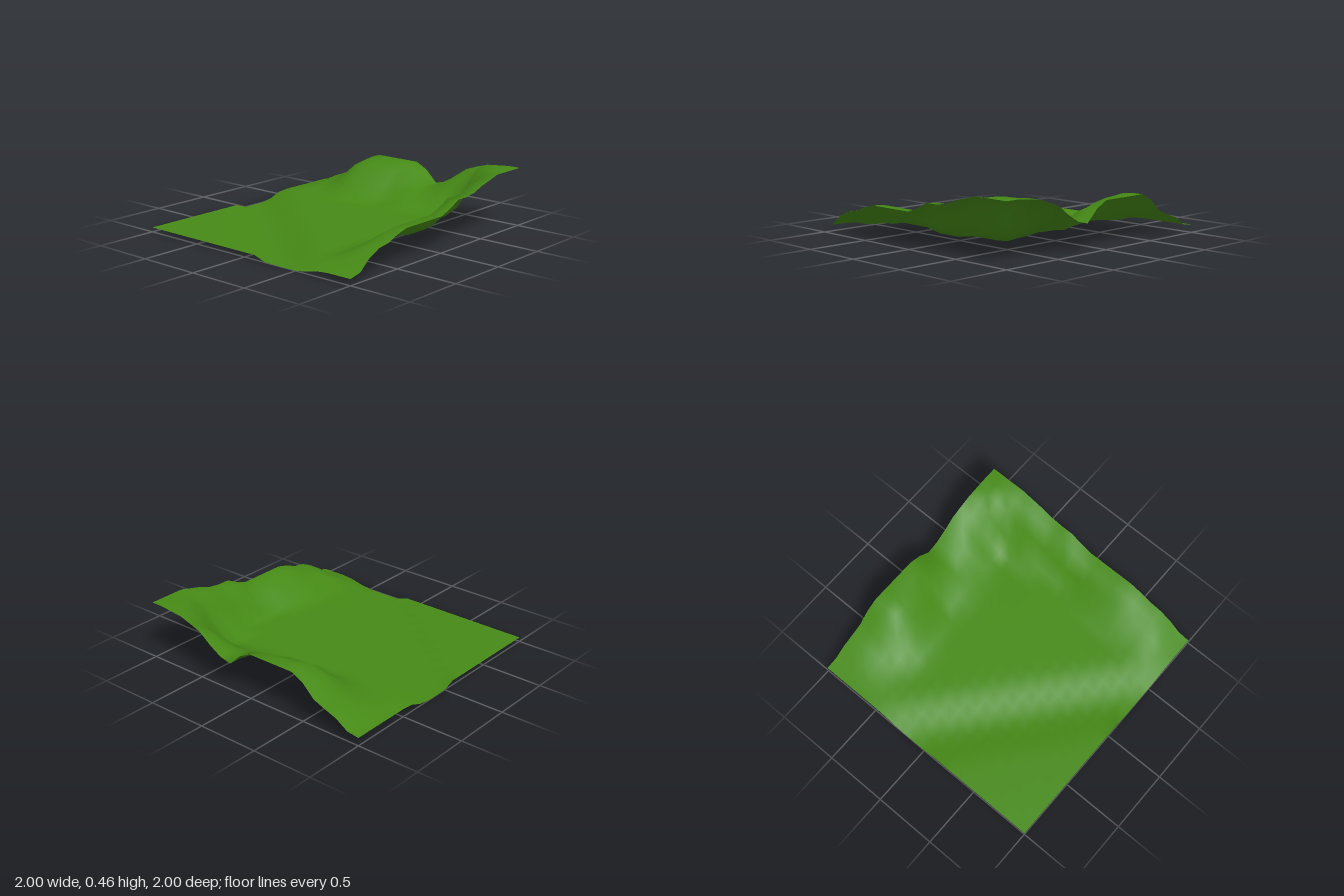
import * as THREE from 'three';

const smooth = THREE.MathUtils.smoothstep;
const lerp = THREE.MathUtils.lerp;

// linear lookup in values spread evenly over -1..1
function sample(values, t) {
  const u = THREE.MathUtils.clamp((t + 1) / 2, 0, 1) * (values.length - 1);
  const i = Math.min(Math.floor(u), values.length - 2);
  return lerp(values[i], values[i + 1], u - i);
}

// skyline along the back edge, x from -1 to 1
const backRidge = [0.04, 0.06, 0.14, 0.175, 0.215, 0.31, 0.36, 0.36, 0.36, 0.36, 0.36,
  0.31, 0.215, 0.24, 0.3, 0.375, 0.41, 0.44, 0.45, 0.46, 0.46];
// skyline along the right-hand edge, z from -1 to 1
const sideRidge = [0.46, 0.457, 0.45, 0.44, 0.435, 0.41, 0.375, 0.36, 0.36, 0.31, 0.275,
  0.275, 0.275, 0.275, 0.275, 0.25, 0.21, 0.195, 0.15, 0.06, 0.035];
// z of the middle of the back slope, x from -1 to 1
const slopeMiddle = [-0.78, -0.72, -0.68, -0.66, -0.7, -0.78, -0.68, -0.76, -0.8, -0.62, -0.5];

// low meadow, a shallow diagonal stream bed and the terrace behind it
function plain(x, z) {
  const d = z - 0.72 - 0.82 * x;
  if (d > 0) return 0.035 * smooth(d, 0.1, 0.2);
  const edge = Math.min(smooth(1 - z, -0.1, 0.2), 0.6 + 0.4 * smooth(x, -1, -0.85));
  const terrace = lerp(0.035, 0.08, edge);
  return terrace * smooth(-d, 0.12, 0.36);
}

function heightAt(x, z) {
  const low = plain(x, z);
  const mid = sample(slopeMiddle, x);
  const back = lerp(low, sample(backRidge, x), smooth(-z, -mid - 0.24, -mid + 0.2));
  // the side slope is steepest just behind the middle
  const steep = Math.exp(-(((z + 0.12) / 0.25) ** 2));
  const side = lerp(low, sample(sideRidge, z), smooth(x, 0.58 + 0.14 * steep, 0.94 - 0.02 * steep));
  return Math.max(back, side);
}

export function createModel() {
  const group = new THREE.Group();
  group.name = 'landscape';

  // one open sheet, raised by the height rule
  const geometry = new THREE.PlaneGeometry(2, 2, 20, 20).rotateX(-Math.PI / 2);
  const position = geometry.attributes.position;
  for (let i = 0; i < position.count; i++) {
    position.setY(i, heightAt(position.getX(i), position.getZ(i)));
  }
  geometry.computeVertexNormals();

  const grass = new THREE.MeshStandardMaterial({ color: 0x468a16, side: THREE.DoubleSide });
  const terrain = new THREE.Mesh(geometry, grass);
  terrain.name = 'terrain';
  group.add(terrain);
  return group;
}
